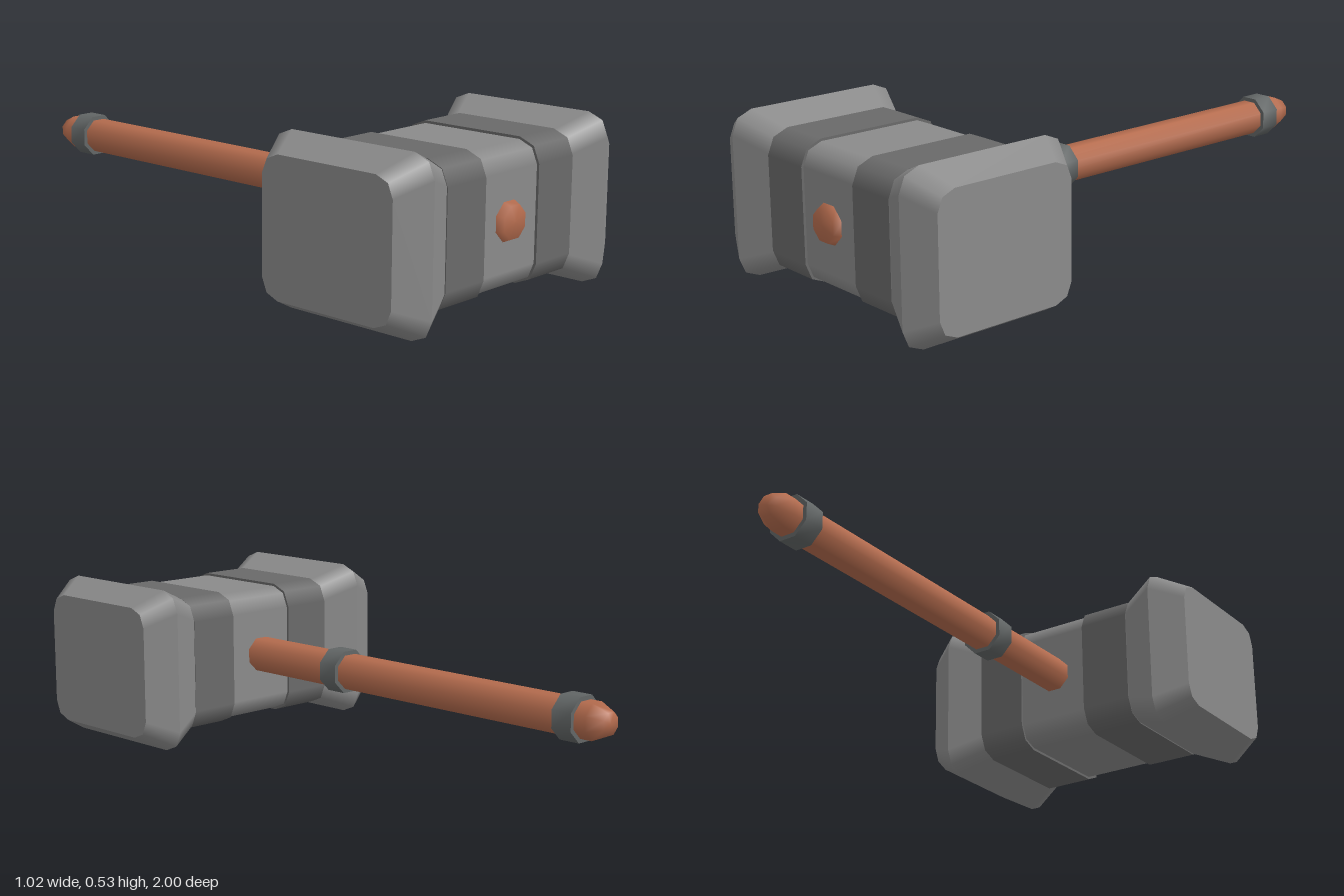
import * as THREE from 'three';
import { toCreasedNormals } from 'three/addons/utils/BufferGeometryUtils.js';

const stone = new THREE.MeshStandardMaterial({ name: 'stone grey', color: 0x8a8a8a });
const darkStone = new THREE.MeshStandardMaterial({ name: 'dark band grey', color: 0x696969 });
const iron = new THREE.MeshStandardMaterial({ name: 'iron grey', color: 0x626666 });
const wood = new THREE.MeshStandardMaterial({ name: 'wood brown', color: 0xb56c4e });

const HEAD_Y = 0.265, HEAD_Z = 0.705;

// Rounded rectangle section: half height hy, half depth hz, corner radius r
function section([x, hy, hz, r]) {
  const points = [];
  for (let corner = 0; corner < 4; corner++) {
    const sz = corner === 0 || corner === 3 ? 1 : -1;
    const sy = corner < 2 ? 1 : -1;
    for (let step = 0; step < 3; step++) {
      const a = corner * Math.PI / 2 + step * Math.PI / 4;
      const c = Math.cos(a), s = Math.sin(a);
      points.push({ x, y: sy * (hy - r) + r * s, z: sz * (hz - r) + r * c, s, c });
    }
  }
  return points;
}

// Closed block along x through the given sections, sharp between sections
function block(rings) {
  const position = [], normal = [], index = [];
  const add = (p, n) => {
    position.push(p.x, p.y, p.z);
    normal.push(n.x, n.y, n.z);
    return position.length / 3 - 1;
  };
  const sections = rings.map(section);
  const count = sections[0].length;
  for (let k = 0; k < rings.length - 1; k++) {
    const [a, b] = [rings[k], rings[k + 1]];
    const slope = (b[1] + b[2] - a[1] - a[2]) / 2 / (b[0] - a[0]);
    const start = position.length / 3;
    for (const p of [...sections[k], ...sections[k + 1]]) {
      add(p, new THREE.Vector3(-slope, p.s, p.c).normalize());
    }
    for (let i = 0; i < count; i++) {
      const j = (i + 1) % count;
      const a0 = start + i, a1 = start + j, b0 = a0 + count, b1 = a1 + count;
      index.push(a0, b0, a1, b0, b1, a1);
    }
  }
  for (const side of [-1, 1]) {
    const ring = side < 0 ? sections[0] : sections[sections.length - 1];
    const n = { x: side, y: 0, z: 0 };
    const centre = add({ x: ring[0].x, y: 0, z: 0 }, n);
    const start = centre + 1;
    ring.forEach((p) => add(p, n));
    for (let i = 0; i < count; i++) {
      const a = start + i, b = start + (i + 1) % count;
      index.push(centre, ...(side > 0 ? [b, a] : [a, b]));
    }
  }
  const geometry = new THREE.BufferGeometry();
  geometry.setAttribute('position', new THREE.Float32BufferAttribute(position, 3));
  geometry.setAttribute('normal', new THREE.Float32BufferAttribute(normal, 3));
  geometry.setIndex(index);
  return geometry;
}

// Eight-sided turned part along z from [radius, z] pairs
function turned(profile) {
  const points = profile.map(([r, z]) => new THREE.Vector2(r, z));
  return new THREE.LatheGeometry(points, 8, Math.PI / 8).rotateX(Math.PI / 2);
}

export function createModel() {
  const model = new THREE.Group();
  model.name = 'hammer';
  const add = (name, geometry, material, x, y, z) => {
    const mesh = new THREE.Mesh(geometry, material);
    mesh.name = name;
    mesh.position.set(x, y, z);
    model.add(mesh);
  };

  // Head with a flared block at each end
  add('head', block([
    [-0.508, 0.213, 0.24, 0.06],
    [-0.402, 0.264, 0.295, 0.07],
    [-0.275, 0.213, 0.24, 0.065],
    [0.29, 0.213, 0.24, 0.065],
    [0.413, 0.264, 0.295, 0.07],
    [0.508, 0.213, 0.24, 0.06],
  ]), stone, 0, HEAD_Y, HEAD_Z);

  // Raised bands around the head
  for (const [name, x0, x1] of [['rightBand', -0.286, -0.114], ['leftBand', 0.136, 0.304]]) {
    add(name, block([[x0, 0.221, 0.248, 0.072], [x1, 0.221, 0.248, 0.072]]),
      darkStone, 0, HEAD_Y, HEAD_Z);
  }

  // Handle passing through the head, with a rounded knob at each end
  add('handle', turned([
    [0, -1], [0.036, -1], [0.059, -0.95], [0.059, 0.8],
    [0.067, 0.9], [0.067, 0.938], [0.053, 0.968], [0, 0.97],
  ]), wood, 0.006, HEAD_Y + 0.003, 0);

  // Collars around the handle
  for (const [name, z] of [['frontCollar', 0.075], ['rearCollar', -0.875]]) {
    const ring = turned([[0.04, -0.035], [0.073, -0.035], [0.073, 0.035], [0.04, 0.035]]);
    add(name, toCreasedNormals(ring, 0.85), iron, 0.006, HEAD_Y + 0.003, z);
  }

  return model;
}
